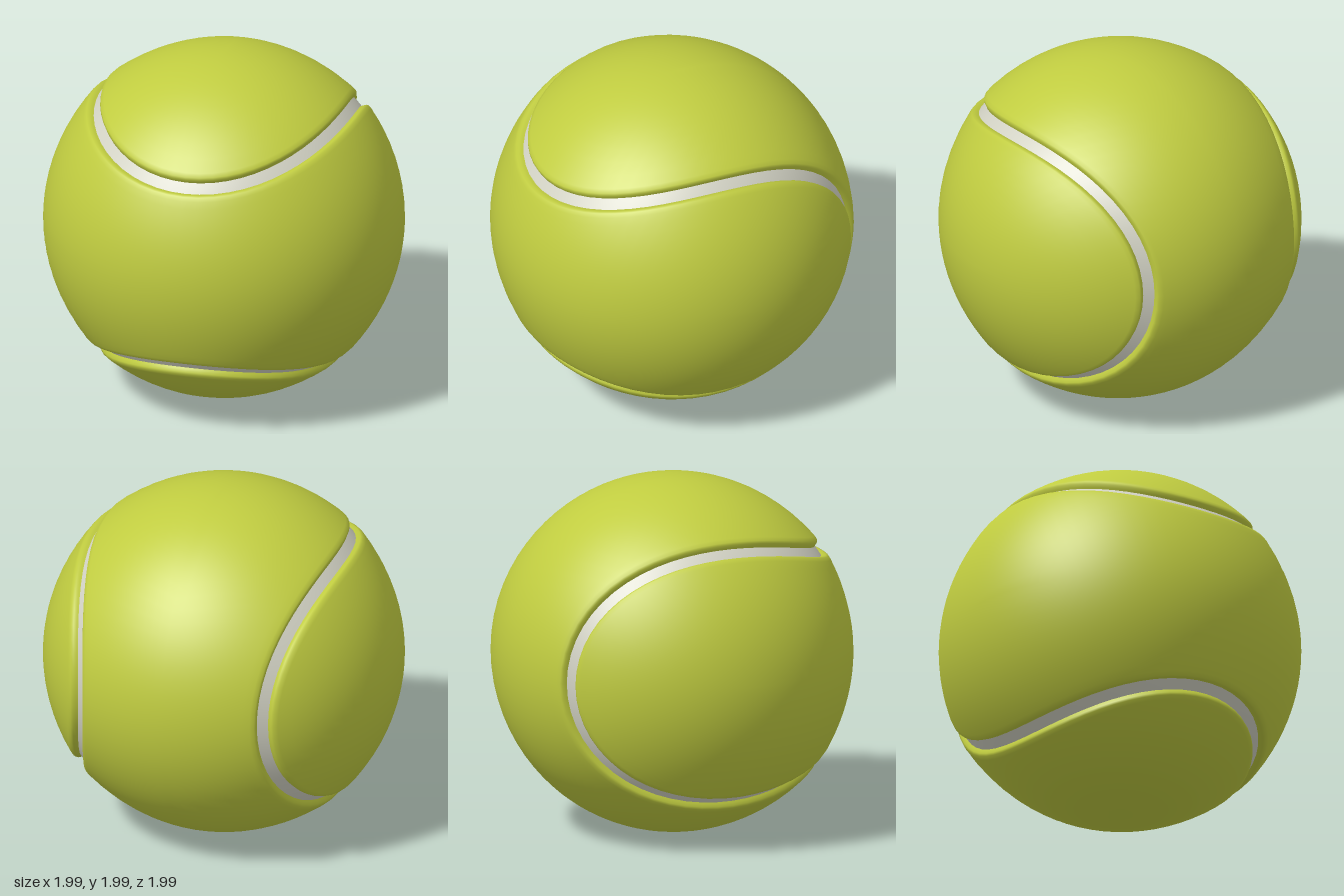
import * as THREE from 'three';
import { mergeVertices } from 'three/addons/utils/BufferGeometryUtils.js';

const STEPS = 112;                 // divisions along the seam
const A = 0.77, B = 0.225;         // seam curve: a closed wave lying on a sphere
const C = 2 * Math.sqrt(A * B);
const RADIUS = 0.996;

function seamPoint(t) {
  return new THREE.Vector3(
    A * Math.cos(t) - B * Math.cos(3 * t),
    A * Math.sin(t) + B * Math.sin(3 * t),
    -C * Math.cos(2 * t)
  ).normalize();
}

// Direction from the seam, along the sphere, into the front panel
function inward(t) {
  const tangent = seamPoint(t + 0.001).sub(seamPoint(t - 0.001));
  return seamPoint(t).cross(tangent).normalize();
}

// Point at a given distance from the seam and height from the centre
function besideSeam(t, distance, radius) {
  return seamPoint(t).addScaledVector(inward(t), distance).setLength(radius);
}

// Skin the cross-sections given by section(t) around the closed seam
function loft(section) {
  const positions = [], index = [];
  let n = 0;
  for (let i = 0; i < STEPS; i++) {
    const row = section((i / STEPS) * Math.PI * 2);
    n = row.length;
    row.forEach((p) => positions.push(p.x, p.y, p.z));
  }
  for (let i = 0; i < STEPS; i++) {
    for (let j = 0; j < n - 1; j++) {
      const a = i * n + j, b = ((i + 1) % STEPS) * n + j;
      index.push(a, b, b + 1, a, b + 1, a + 1);
    }
  }
  let geometry = new THREE.BufferGeometry();
  geometry.setAttribute('position', new THREE.Float32BufferAttribute(positions, 3));
  geometry.setIndex(index);
  geometry = mergeVertices(geometry, 1e-4);
  geometry.computeVertexNormals();
  return geometry;
}

// Panel: groove wall, rounded lip, then a dome closing on a central spine
function panelSection(t) {
  const lip = [[0.027, 0.962], [0.036, 0.982], [0.043, 0.998], [0.055, 1.007], [0.08, 1.008]];
  const row = lip.map(([d, r]) => besideSeam(t, d, r));
  const azimuth = THREE.MathUtils.degToRad(85) * Math.cos(t);
  const spine = new THREE.Vector3(Math.sin(azimuth), 0, Math.cos(azimuth));
  const start = besideSeam(t, 0.08, 1);
  const angle = start.angleTo(spine);
  const rings = 12;
  for (let k = 1; k <= rings; k++) {
    const u = k / rings;
    const p = start.clone().multiplyScalar(Math.sin((1 - u) * angle))
      .addScaledVector(spine, Math.sin(u * angle));
    row.push(p.setLength(RADIUS + 0.012 * (1 - u) ** 3));
  }
  return row;
}

export function createModel() {
  const felt = new THREE.MeshStandardMaterial({ color: 0xc0cc40 });
  felt.name = 'yellow green felt';
  const rubber = new THREE.MeshStandardMaterial({ color: 0xd2d2c4 });
  rubber.name = 'pale rubber';

  const model = new THREE.Group();
  model.name = 'ball';
  const add = (name, geometry, material) => {
    const mesh = new THREE.Mesh(geometry, material);
    mesh.name = name;
    mesh.position.y = 1;
    model.add(mesh);
    return mesh;
  };

  // Two identical felt panels, the second turned half round to interlock
  const panel = loft(panelSection);
  add('frontPanel', panel, felt);
  add('backPanel', panel, felt)
    .setRotationFromAxisAngle(new THREE.Vector3(1, 1, 0).normalize(), Math.PI);

  // Seam strip on the groove floor
  add('seam', loft((t) => [-0.034, 0, 0.034].map((d) => besideSeam(t, d, 0.974))), rubber);

  return model;
}
